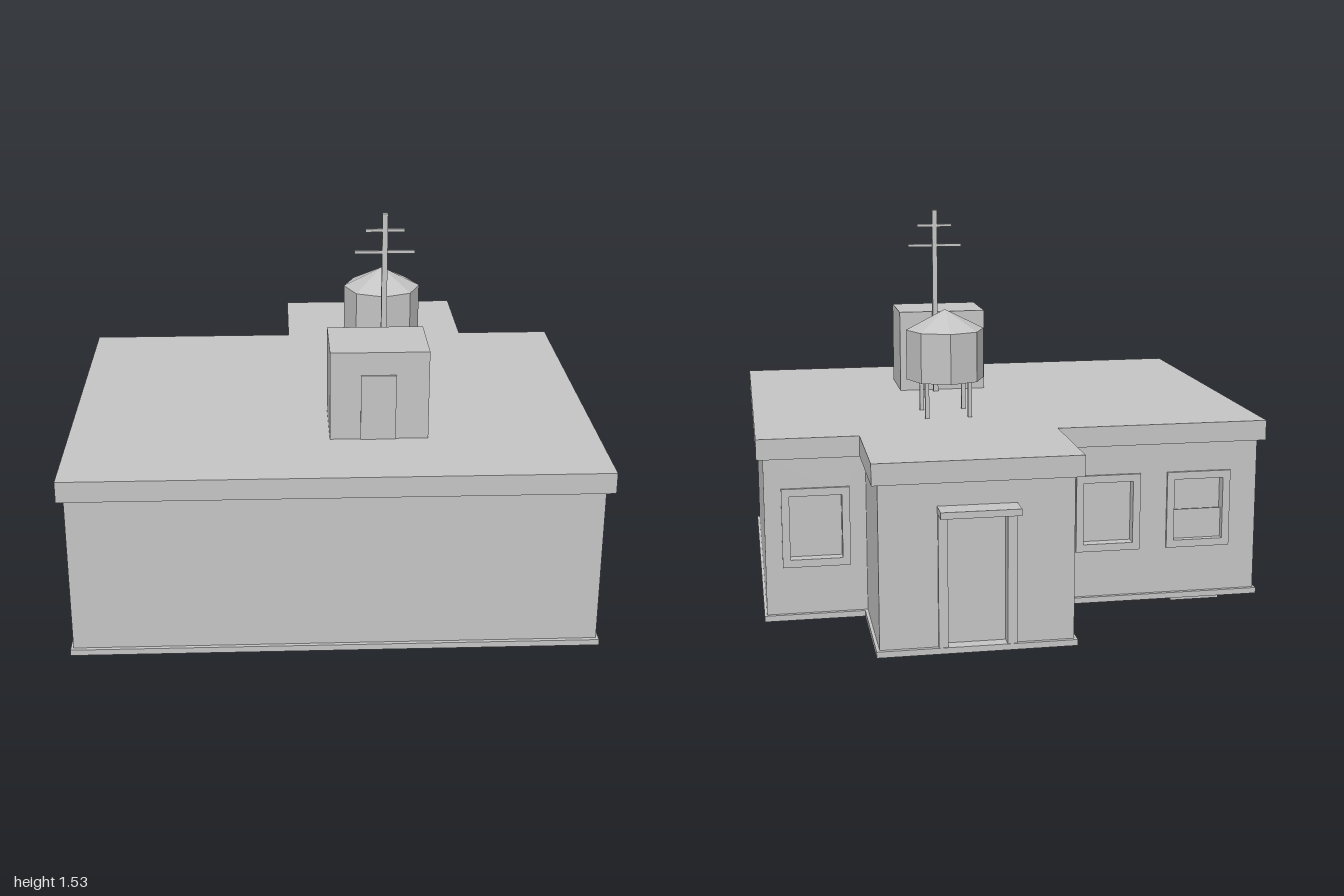
import * as THREE from 'three';

const plaster = new THREE.MeshStandardMaterial({ color: 0xc4c4c4 });
plaster.name = 'grey plaster';

function add(parent, name, geometry) {
  const mesh = new THREE.Mesh(geometry, plaster);
  mesh.name = name;
  parent.add(mesh);
  return mesh;
}

// Box given by its minimum and maximum corners
function box(parent, name, [x0, x1], [y0, y1], [z0, z1]) {
  const g = new THREE.BoxGeometry(x1 - x0, y1 - y0, z1 - z0);
  g.translate((x0 + x1) / 2, (y0 + y1) / 2, (z0 + z1) / 2);
  return add(parent, name, g);
}

// T-shaped floor plan raised from y0 to y1
function plan(parent, name, { x, front, back, wingX, wingBack }, y0, y1) {
  const shape = new THREE.Shape([
    [x[0], front], [x[1], front], [x[1], back], [wingX[1], back],
    [wingX[1], wingBack], [wingX[0], wingBack], [wingX[0], back], [x[0], back],
  ].map(([px, pz]) => new THREE.Vector2(px, -pz)));
  const g = new THREE.ExtrudeGeometry(shape, { depth: y1 - y0, bevelEnabled: false });
  g.rotateX(-Math.PI / 2).translate(0, y0, 0);
  return add(parent, name, g);
}

// Upright slab facing the back, with rectangular holes
function slab(parent, name, [x0, x1], [y0, y1], [z0, z1], holes) {
  const corners = (a, b, c, d) => [[a, c], [b, c], [b, d], [a, d]].map((p) => new THREE.Vector2(...p));
  const shape = new THREE.Shape(corners(x0, x1, y0, y1));
  for (const [hx, hy] of holes) {
    shape.holes.push(new THREE.Path(corners(hx[0], hx[1], hy[0], hy[1]).reverse()));
  }
  const g = new THREE.ExtrudeGeometry(shape, { depth: z1 - z0, bevelEnabled: false });
  g.translate(0, 0, z0);
  return add(parent, name, g);
}

function flat(geometry) {
  const g = geometry.toNonIndexed();
  g.computeVertexNormals();
  return g;
}

export function createModel() {
  const model = new THREE.Group();
  model.name = 'building';

  // Walls, skirting and roof slab
  plan(model, 'wallCore', { x: [-0.98, 0.975], front: 0.955, back: -0.42, wingX: [-0.13, 0.587], wingBack: -0.875 }, 0.02, 0.68);
  plan(model, 'skirting', { x: [-0.99, 0.985], front: 0.97, back: -0.47, wingX: [-0.142, 0.599], wingBack: -0.925 }, 0.02, 0.043);
  plan(model, 'roofSlab', { x: [-1, 1], front: 1, back: -0.5, wingX: [-0.155, 0.612], wingBack: -0.955 }, 0.665, 0.745);

  // Back walls with recessed openings
  const winY = [0.23, 0.54];
  const windows = [[-0.87, -0.61], [-0.5, -0.24], [0.65, 0.91]];
  const rim = 0.03;
  const opening = ([a, b]) => [[a + rim, b - rim], [winY[0] + rim, winY[1] - rim]];
  const doorX = [0.12, 0.338];
  const wallY = [0.02, 0.67];
  slab(model, 'backWallRight', [-0.98, -0.13], wallY, [-0.455, -0.42], [opening(windows[0]), opening(windows[1])]);
  slab(model, 'backWallLeft', [0.587, 0.975], wallY, [-0.455, -0.42], [opening(windows[2])]);
  slab(model, 'wingBackWall', [-0.13, 0.587], wallY, [-0.91, -0.875], [[doorX, [0.04, 0.545]]]);

  // Window frames and the lowered shutter
  for (const w of windows) slab(model, 'windowFrame', w, winY, [-0.465, -0.455], [opening(w)]);
  box(model, 'shutter', [-0.84, -0.64], [0, 0.38], [-0.439, -0.434]);

  // Door jambs and canopy
  for (const [a, b] of [[0.085, doorX[0]], [doorX[1], 0.373]]) {
    box(model, 'doorJamb', [a, b], [0.02, 0.547], [-0.922, -0.91]);
  }
  box(model, 'doorCanopy', [0.083, 0.375], [0.545, 0.57], [-1, -0.9]);

  // Stair house on the roof
  box(model, 'stairHouse', [-0.015, 0.355], [0.74, 1.09], [0.38, 0.662]);
  box(model, 'stairHouseDoor', [0.1, 0.232], [0.745, 1.0], [0.662, 0.668]);

  // Mast with two crossbars
  box(model, 'mast', [0.195, 0.216], [0.74, 1.532], [0.336, 0.358]);
  box(model, 'upperCrossbar', [0.132, 0.28], [1.46, 1.472], [0.341, 0.353]);
  box(model, 'lowerCrossbar', [0.09, 0.32], [1.375, 1.387], [0.341, 0.353]);

  // Eight-sided water tank on four legs
  const tank = new THREE.Group();
  tank.name = 'waterTank';
  tank.position.set(0.232, 0, -0.14);
  model.add(tank);
  add(tank, 'tankBody', flat(new THREE.CylinderGeometry(0.157, 0.157, 0.2, 8))).position.y = 0.99;
  add(tank, 'tankRoof', flat(new THREE.ConeGeometry(0.157, 0.08, 8))).position.y = 1.13;
  for (const sx of [-1, 1]) for (const sz of [-1, 1]) {
    const x = sx * 0.086, z = sz * 0.086, r = 0.008;
    box(tank, 'tankLeg', [x - r, x + r], [0.74, 0.9], [z - r, z + r]);
  }
  return model;
}
